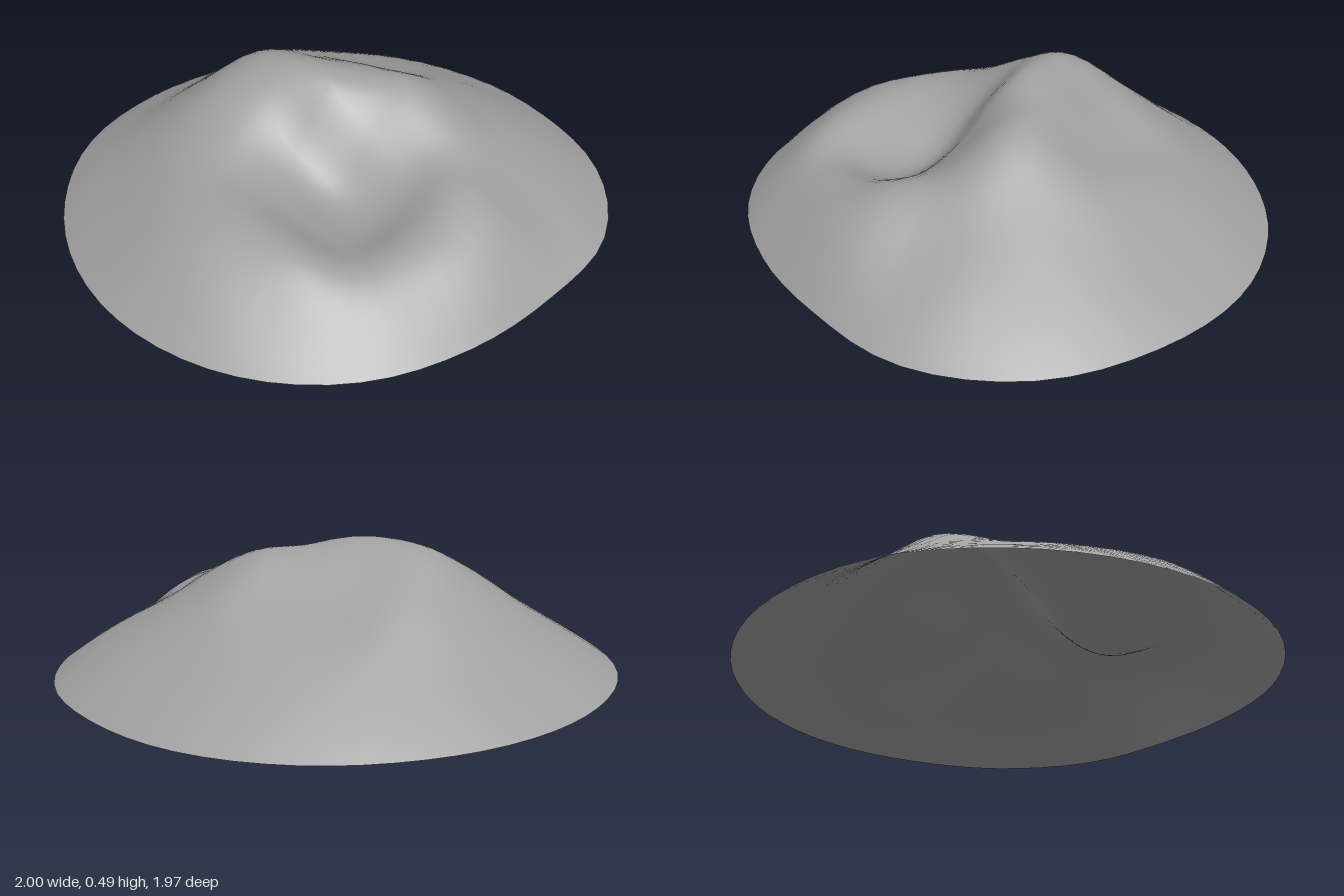
import * as THREE from 'three';

// Base outline radius at 16 bearings, turning from +x towards +z
const EDGE = [1, 1.02, 1.055, 1.04, 0.965, 0.957, 0.985, 1, 1, 1, 1.005, 1.013, 0.985, 0.963, 0.957, 0.975];

// Steepness of the dome on a 0.2 grid: rows from z = -0.8 to 0.8, columns from x = -0.8 to 0.8
const RELIEF = [
  [0.36, 0.35, 0.34, 0.34, 0.34, 0.35, 0.36, 0.36, 0.36],
  [0.37, 0.35, 0.375, 0.42, 0.43, 0.42, 0.38, 0.36, 0.36],
  [0.38, 0.385, 0.395, 0.465, 0.52, 0.465, 0.41, 0.37, 0.36],
  [0.44, 0.41, 0.37, 0.415, 0.51, 0.445, 0.37, 0.37, 0.36],
  [0.5, 0.42, 0.3, 0.285, 0.465, 0.465, 0.385, 0.38, 0.35],
  [0.5, 0.43, 0.25, 0.18, 0.36, 0.485, 0.445, 0.4, 0.35],
  [0.46, 0.47, 0.26, 0.215, 0.34, 0.45, 0.415, 0.385, 0.37],
  [0.46, 0.46, 0.43, 0.415, 0.465, 0.395, 0.385, 0.37, 0.36],
  [0.46, 0.46, 0.47, 0.55, 0.55, 0.38, 0.39, 0.37, 0.36],
];
const RINGS = 30, SEGMENTS = 64;

// Smooth curve through evenly spaced values, where at(i) gives value i
function spline(at, s) {
  const i = Math.floor(s), t = s - i;
  const a = at(i - 1), b = at(i), c = at(i + 1), d = at(i + 2);
  return b + 0.5 * t * (c - a + t * (2 * a - 5 * b + 4 * c - d + t * (3 * (b - c) + d - a)));
}

const clamp = (i) => Math.min(Math.max(i, 0), 8);

function reliefAt(x, z) {
  const row = (j) => spline((i) => RELIEF[clamp(j)][clamp(i)], (x + 0.8) / 0.2);
  return spline(row, (z + 0.8) / 0.2);
}

export function createModel() {
  const group = new THREE.Group();
  group.name = 'hill';
  const stone = new THREE.MeshStandardMaterial({ color: 0xa0a0a0, side: THREE.DoubleSide });
  stone.name = 'grey stone';

  // Open shell: centre point and rings out to the base edge
  const positions = [0, reliefAt(0, 0), 0];
  const index = [];
  for (let ring = 1; ring <= RINGS; ring++) {
    const r = ring / RINGS;
    for (let k = 0; k < SEGMENTS; k++) {
      const angle = (k / SEGMENTS) * Math.PI * 2;
      const radius = r * spline((i) => EDGE[(i + 16) % 16], (k / SEGMENTS) * 16);
      const x = Math.cos(angle) * radius, z = Math.sin(angle) * radius;
      // Dome falling to the base edge, shaped by the relief
      positions.push(x, reliefAt(x, z) * (1 - r * r), z);
      const next = (k + 1) % SEGMENTS;
      const outer = 1 + (ring - 1) * SEGMENTS;
      const inner = outer - SEGMENTS;
      if (ring === 1) index.push(0, outer + next, outer + k);
      else index.push(inner + k, inner + next, outer + k, inner + next, outer + next, outer + k);
    }
  }
  const geometry = new THREE.BufferGeometry();
  geometry.setAttribute('position', new THREE.Float32BufferAttribute(positions, 3));
  geometry.setIndex(index);
  geometry.computeVertexNormals();

  const hill = new THREE.Mesh(geometry, stone);
  hill.name = 'hillSurface';
  group.add(hill);
  return group;
}
